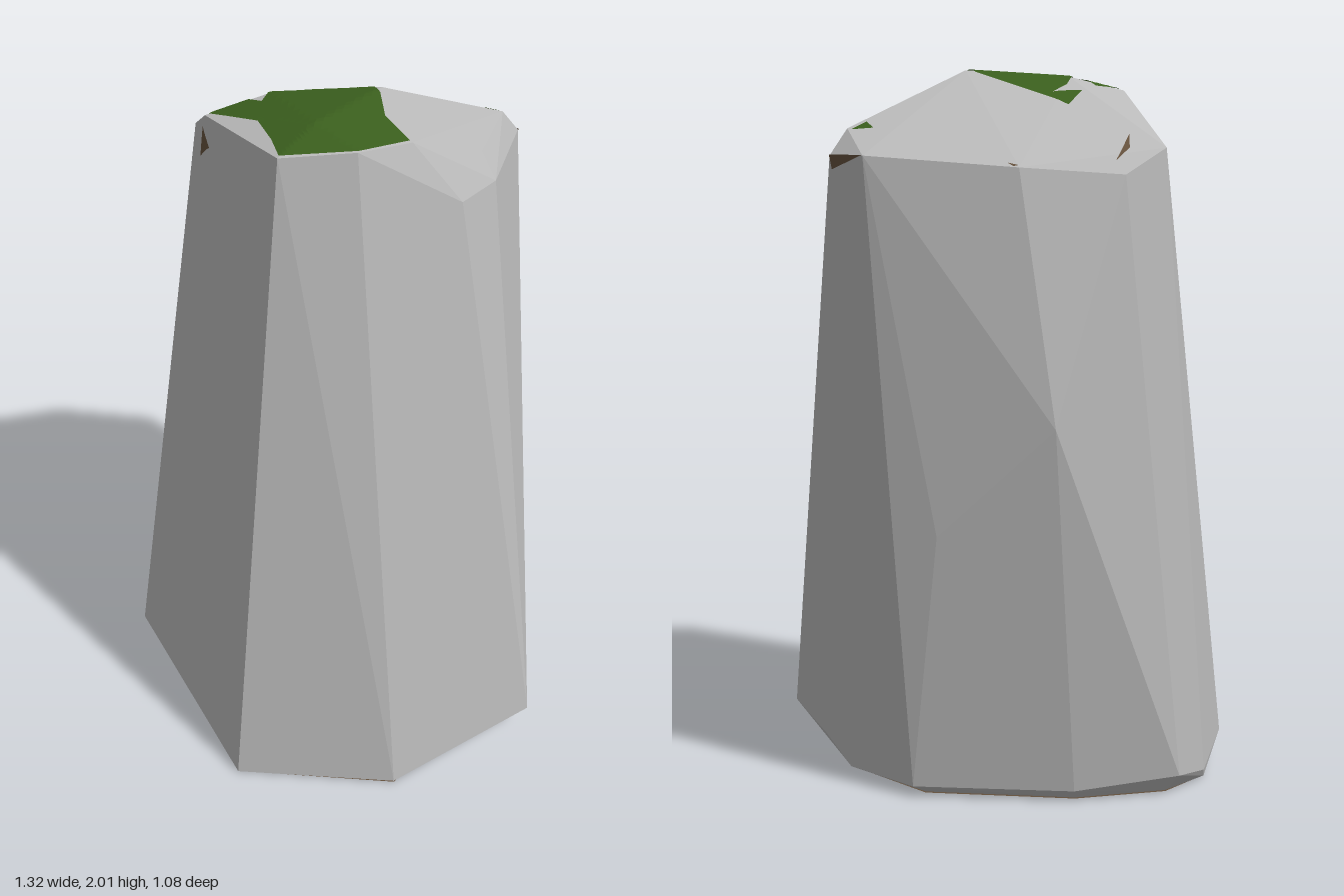
import * as THREE from 'three';
import { ConvexGeometry } from 'three/addons/geometries/ConvexGeometry.js';

const V = (p) => new THREE.Vector3(...p);

// Corners of the boulder
const base = [
  [-0.16, 0, 0.535], [0.31, 0, 0.44], [0.47, 0, 0.1], [0.38, 0, -0.25], [0.17, 0, -0.4],
  [-0.25, 0, -0.4], [-0.5, 0, -0.32], [-0.61, 0, -0.2], [-0.61, 0, 0.03],
];
const flare = [
  [-0.66, 0.06, 0.03], [0.655, 0.08, 0.105], [0.5, 0.08, -0.18], [0.4, 0.03, -0.31],
  [0.2, 0.03, -0.44], [-0.25, 0.03, -0.43], [-0.54, 0.06, -0.36], [-0.61, 0.03, -0.23],
];
const back = [[-0.2, 1.06, -0.52], [0.12, 0.76, -0.5]];
const rim = [
  [-0.35, 1.95, 0.03], [-0.09, 1.957, 0.22], [0.1, 1.965, 0.15], [0.21, 1.945, 0.02],
  [0.34, 1.77, -0.02], [0.4, 1.77, -0.16], [0.4, 1.77, -0.47], [0.3, 1.77, -0.54],
  [0.36, 1.84, -0.43], [0.35, 1.83, -0.2], [-0.1, 1.74, -0.5], [-0.37, 1.72, -0.35],
  [-0.475, 1.79, -0.22],
];
const crown = [[0.08, 2, -0.16], [-0.03, 2, 0.09], [-0.2, 1.985, -0.08]];

// Outline of the moss cap as x, z pairs
const mossOutline = [
  [-0.23, -0.21], [0.05, -0.16], [0.08, -0.13], [0.12, -0.04], [0.21, 0.025], [0.1, 0.15],
  [-0.09, 0.22], [-0.13, 0.15], [-0.19, 0.07], [-0.35, 0.03], [-0.28, -0.05], [-0.21, -0.03],
  [-0.2, -0.12], [-0.17, -0.17], [-0.25, -0.12],
];

// Small earthy chips along the rim
const chips = [
  [[0.3, 1.77, -0.54], [0.4, 1.77, -0.47], [0.39, 1.73, -0.47]],
  [[-0.36, 1.78, -0.35], [-0.4, 1.82, -0.29], [-0.39, 1.85, -0.23]],
  [[-0.1, 1.75, -0.5], [-0.07, 1.76, -0.5], [-0.085, 1.74, -0.5]],
  [[-0.36, 1.92, 0.03], [-0.33, 1.87, 0.06], [-0.38, 1.85, 0.04]],
];

export function createModel() {
  const group = new THREE.Group();
  const material = (name, color, side = THREE.DoubleSide) =>
    new THREE.MeshStandardMaterial({ name, color, side, flatShading: true });
  const stone = material('stone grey', 0xb8b8b8, THREE.FrontSide);
  const moss = material('moss green', 0x3a5e1d);
  const earth = material('earth brown', 0x64503c);

  // Boulder
  const hull = new ConvexGeometry([...base, ...flare, ...back, ...rim, ...crown].map(V));
  const boulder = new THREE.Mesh(hull, stone);
  boulder.name = 'boulder';
  group.add(boulder);

  // Facet planes, used to lay patches on the stone
  const planes = [];
  const pos = hull.attributes.position;
  for (let i = 0; i < pos.count; i += 3) {
    const [a, b, c] = [0, 1, 2].map((k) => new THREE.Vector3().fromBufferAttribute(pos, i + k));
    planes.push(new THREE.Plane().setFromCoplanarPoints(a, b, c));
  }
  const centre = new THREE.Vector3(0, 1.3, -0.1);
  const onSurface = (p) => {
    const dir = p.clone().sub(centre).normalize();
    let t = Infinity;
    for (const plane of planes) {
      const slope = plane.normal.dot(dir);
      if (slope > 1e-5) t = Math.min(t, -plane.distanceToPoint(centre) / slope);
    }
    return centre.clone().addScaledVector(dir, t + 0.003);
  };

  // Thin patch that follows the facets
  const addPatch = (name, points, mat, levels) => {
    const pts = points.map(V);
    const faces = pts.length === 3 ? [[0, 1, 2]]
      : THREE.ShapeUtils.triangulateShape(pts.map((p) => new THREE.Vector2(p.x, p.z)), []);
    const out = [];
    const split = (a, b, c, n) => {
      if (n === 0) {
        out.push(onSurface(a), onSurface(b), onSurface(c));
        return;
      }
      const ab = a.clone().lerp(b, 0.5), bc = b.clone().lerp(c, 0.5), ca = c.clone().lerp(a, 0.5);
      split(a, ab, ca, n - 1);
      split(ab, b, bc, n - 1);
      split(ca, bc, c, n - 1);
      split(ab, bc, ca, n - 1);
    };
    // Wind every face outwards
    for (const [i, j, k] of faces) {
      const normal = new THREE.Triangle(pts[i], pts[j], pts[k]).getNormal(new THREE.Vector3());
      const outward = normal.dot(pts[i].clone().sub(centre)) > 0;
      split(pts[i], outward ? pts[j] : pts[k], outward ? pts[k] : pts[j], levels);
    }
    const geometry = new THREE.BufferGeometry().setFromPoints(out);
    geometry.computeVertexNormals();
    const mesh = new THREE.Mesh(geometry, mat);
    mesh.name = name;
    group.add(mesh);
  };

  // Moss on the crown and a small tuft at the back corner
  addPatch('mossCap', mossOutline.map(([x, z]) => [x, 1.975, z]), moss, 4);
  addPatch('mossTuft', [[0.3, 1.86, -0.44], [0.35, 1.84, -0.44], [0.32, 1.87, -0.41]], moss, 2);

  // Earth chips and the bare earth underneath
  chips.forEach((chip, i) => addPatch(`earthChip${i + 1}`, chip, earth, 2));
  addPatch('earthUnderside', [
    [-0.16, 0, 0.53], [0.31, 0, 0.44], [0.47, 0, 0.1], [0.38, 0, -0.25], [0.17, 0, -0.4],
    [-0.25, 0, -0.4], [-0.5, 0, -0.32], [-0.6, 0, -0.2], [0.08, 0, 0.12], [-0.2, 0, 0.45],
  ], earth, 0);

  return group;
}
